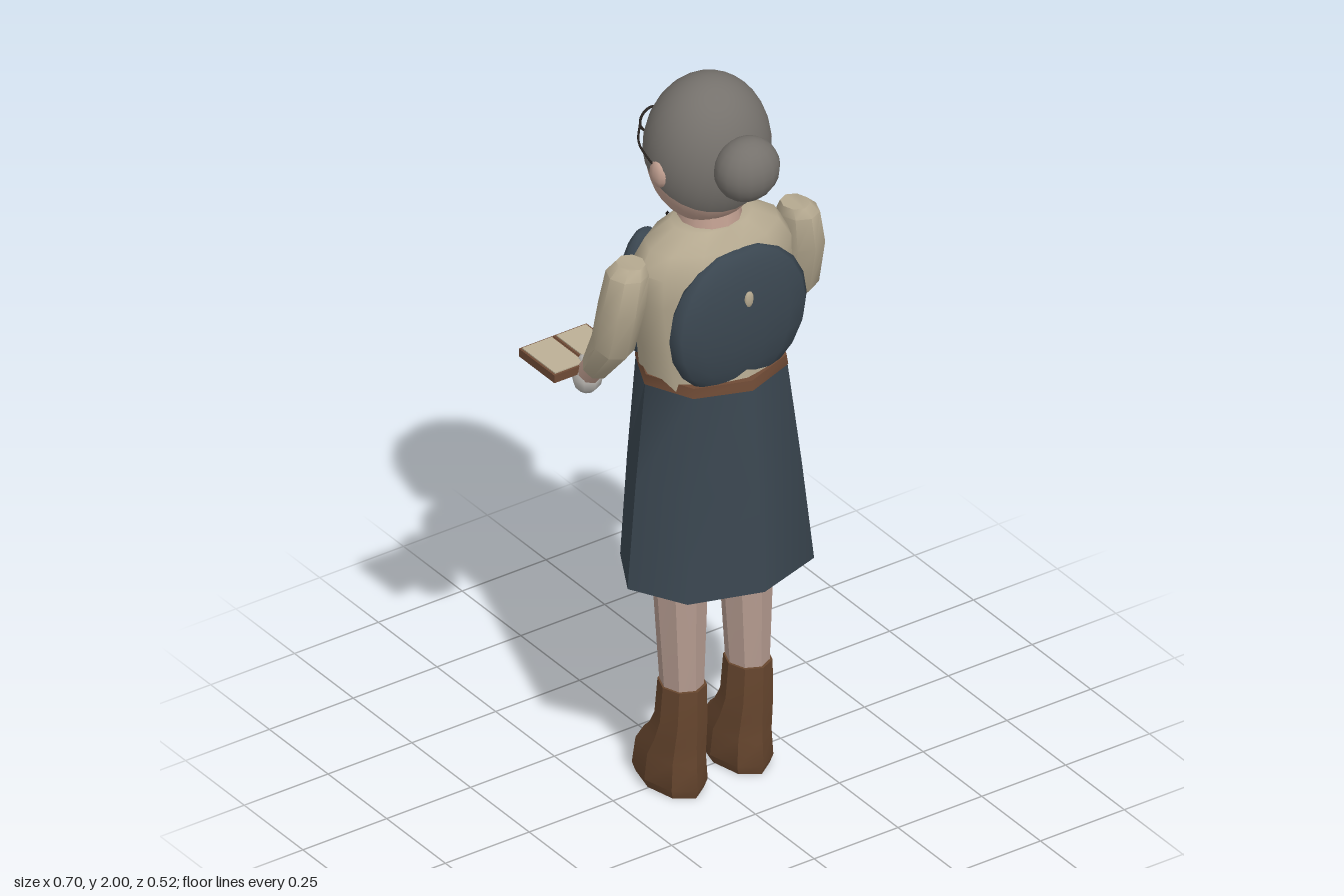
import * as THREE from 'three';
import { toCreasedNormals } from 'three/addons/utils/BufferGeometryUtils.js';

const CX = 0.02; // body centre line
const mat = (color, side = THREE.FrontSide) => new THREE.MeshStandardMaterial({ color, side });
const M = {
  skin: mat(0xc4a293), leg: mat(0xb59b90), hair: mat(0x75716c, THREE.DoubleSide), blouse: mat(0xb5a990),
  blue: mat(0x3a4650, THREE.DoubleSide), brown: mat(0x6e4a35), boot: mat(0x68472f),
  glove: mat(0xb8b5b0), dark: mat(0x2a2522), page: mat(0xbcb096),
};

export function createModel() {
  const root = new THREE.Group();

  const add = (name, geo, material, x = 0, y = 0, z = 0) => {
    const m = new THREE.Mesh(geo, material);
    m.name = name;
    m.position.set(x, y, z);
    root.add(m);
    return m;
  };
  const ball = (name, material, x, y, z, rx, ry, rz, w = 16, h = 12) =>
    add(name, new THREE.SphereGeometry(1, w, h).scale(rx, ry, rz), material, x, y, z);
  const tube = (name, material, pts, r) => add(name,
    new THREE.TubeGeometry(new THREE.CatmullRomCurve3(pts.map(p => new THREE.Vector3(...p))), 12, r, 5), material);

  // Skin over elliptical rings from bottom to top: [x, y, z, rx, rz, tilt]
  const loft = (rings, sides = 8, crease = 0.9, caps = true) => {
    const pos = [], idx = [];
    for (const [x, y, z, rx, rz, t = 0] of rings) {
      for (let j = 0; j < sides; j++) {
        const a = j / sides * Math.PI * 2, d = rz * Math.cos(a);
        pos.push(x + rx * Math.sin(a), y - d * Math.sin(t), z + d * Math.cos(t));
      }
    }
    for (let i = 0; i < rings.length - 1; i++) {
      for (let j = 0; j < sides; j++) {
        const k = (j + 1) % sides, a = i * sides, b = a + sides;
        idx.push(a + j, a + k, b + k, a + j, b + k, b + j);
      }
    }
    if (caps) {
      const top = (rings.length - 1) * sides;
      for (let j = 1; j < sides - 1; j++) idx.push(0, j + 1, j, top, top + j, top + j + 1);
    }
    const g = new THREE.BufferGeometry();
    g.setAttribute('position', new THREE.Float32BufferAttribute(pos, 3));
    g.setIndex(idx);
    return toCreasedNormals(g, crease);
  };

  // Torso, belt and open skirt
  add('blouse', loft([
    [CX, 1.19, 0.035, 0.185, 0.16], [CX, 1.3, 0.035, 0.205, 0.14], [CX, 1.44, 0.035, 0.222, 0.135],
    [CX, 1.52, 0.035, 0.22, 0.135], [CX, 1.575, 0.035, 0.185, 0.115], [CX, 1.615, 0.033, 0.11, 0.08],
  ], 12), M.blouse);
  add('belt', loft([[CX, 1.195, 0.034, 0.2, 0.177], [CX, 1.222, 0.034, 0.196, 0.173]]), M.brown);
  add('skirt', loft([
    [CX, 0.64, 0.058, 0.267, 0.203], [CX, 0.92, 0.046, 0.235, 0.19], [CX, 1.205, 0.034, 0.197, 0.174],
  ], 8, 0.9, false), M.blue);

  // Rounded waistcoat panels
  ball('backPanel', M.blue, CX, 1.375, 0.147, 0.205, 0.2, 0.053, 14, 10);
  ball('backButton', M.blouse, CX, 1.45, 0.194, 0.014, 0.023, 0.006, 8, 6);
  for (const s of [-1, 1]) {
    const panel = ball('frontPanel', M.blue, CX + s * 0.13, 1.39, -0.07, 0.083, 0.178, 0.044, 12, 10);
    panel.rotation.y = s * -0.2;
  }

  // Neck and head with tilted hair cap and bun
  add('neck', new THREE.CylinderGeometry(0.075, 0.085, 0.09, 12), M.skin, CX, 1.615, 0.025);
  ball('head', M.skin, CX, 1.8, 0.015, 0.157, 0.195, 0.143, 24, 18);
  add('hair', new THREE.SphereGeometry(1, 28, 18, 0, Math.PI * 2, 0, 1.75).rotateX(0.46)
    .scale(0.163, 0.2, 0.149), M.hair, CX, 1.8, 0.015);
  ball('bun', M.hair, CX, 1.823, 0.185, 0.086, 0.084, 0.073, 16, 12);

  // Face
  ball('nose', M.skin, CX, 1.778, -0.13, 0.02, 0.02, 0.018, 10, 8);
  tube('mouth', M.dark, [[CX - 0.026, 1.727, -0.115], [CX, 1.718, -0.116], [CX + 0.026, 1.727, -0.115]], 0.003);
  for (const s of [-1, 1]) {
    ball('ear', M.skin, CX + s * 0.155, 1.785, 0.03, 0.018, 0.038, 0.03, 8, 8);
    ball('eye', M.dark, CX + s * 0.056, 1.815, -0.118, 0.01, 0.012, 0.006, 8, 6);
    add('glassesRim', new THREE.TorusGeometry(0.034, 0.0035, 6, 20), M.dark, CX + s * 0.058, 1.822, -0.139);
    tube('glassesArm', M.dark, [[CX + s * 0.092, 1.826, -0.138], [CX + s * 0.15, 1.822, -0.06],
      [CX + s * 0.166, 1.81, 0.02]], 0.003);
  }
  tube('glassesBridge', M.dark, [[CX - 0.025, 1.826, -0.139], [CX, 1.832, -0.142], [CX + 0.025, 1.826, -0.139]], 0.003);

  // Cord with pendant
  tube('cord', M.dark, [[CX - 0.075, 1.612, -0.04], [CX - 0.04, 1.56, -0.098], [CX, 1.525, -0.118],
    [CX + 0.04, 1.56, -0.098], [CX + 0.075, 1.612, -0.04]], 0.003);
  ball('pendant', M.brown, CX, 1.515, -0.119, 0.009, 0.012, 0.005, 8, 6);

  for (const s of [-1, 1]) {
    const x = d => CX + s * d;
    // Arm bent forward at the elbow
    add('sleeve', loft([
      [x(0.268), 1.222, -0.07, 0.042, 0.038, 0.75], [x(0.275), 1.33, 0.008, 0.055, 0.056, 0.45],
      [x(0.268), 1.45, 0.035, 0.058, 0.06, 0.1], [x(0.255), 1.54, 0.04, 0.052, 0.057],
      [x(0.245), 1.565, 0.04, 0.035, 0.04],
    ], 8, 0.8), M.blouse);
    add('wrist', loft([[x(0.266), 1.185, -0.105, 0.033, 0.033, 0.75], [x(0.268), 1.24, -0.06, 0.036, 0.034, 0.75]]), M.skin);
    ball('hand', M.glove, x(0.265), 1.165, -0.117, 0.04, 0.045, 0.038, 8, 6);
    ball('thumb', M.glove, x(s < 0 ? 0.265 : 0.235), s < 0 ? 1.203 : 1.175, s < 0 ? -0.125 : -0.135,
      0.015, 0.015, s < 0 ? 0.025 : 0.018, 8, 6);

    // Leg and boot
    const lx = CX + s * 0.098;
    add('leg', loft([
      [lx, 0.12, 0.046, 0.048, 0.055], [lx, 0.3, 0.047, 0.052, 0.06],
      [lx, 0.6, 0.04, 0.069, 0.07], [lx, 1.0, 0.04, 0.08, 0.08],
    ], 8, 0.5), M.leg);
    add('underskirt', new THREE.BoxGeometry(0.05, 0.3, 0.02), M.blue, lx, 0.73, -0.025);
    add('boot', loft([
      [lx, 0, -0.004, 0.066, 0.112], [lx, 0.025, -0.004, 0.076, 0.12], [lx, 0.1, 0.0, 0.07, 0.112],
      [lx, 0.15, 0.025, 0.067, 0.086], [lx, 0.21, 0.044, 0.063, 0.07], [lx, 0.31, 0.049, 0.058, 0.066],
    ], 8, 0.5), M.boot);
  }

  // Open book held in one hand
  for (const s of [-1, 1]) {
    const x = -0.246 + s * 0.051;
    add('bookCover', new THREE.BoxGeometry(0.1, 0.022, 0.152), M.brown, x, 1.194, -0.187);
    add('bookPages', new THREE.BoxGeometry(0.088, 0.01, 0.14), M.page, x, 1.203, -0.187);
  }
  return root;
}
